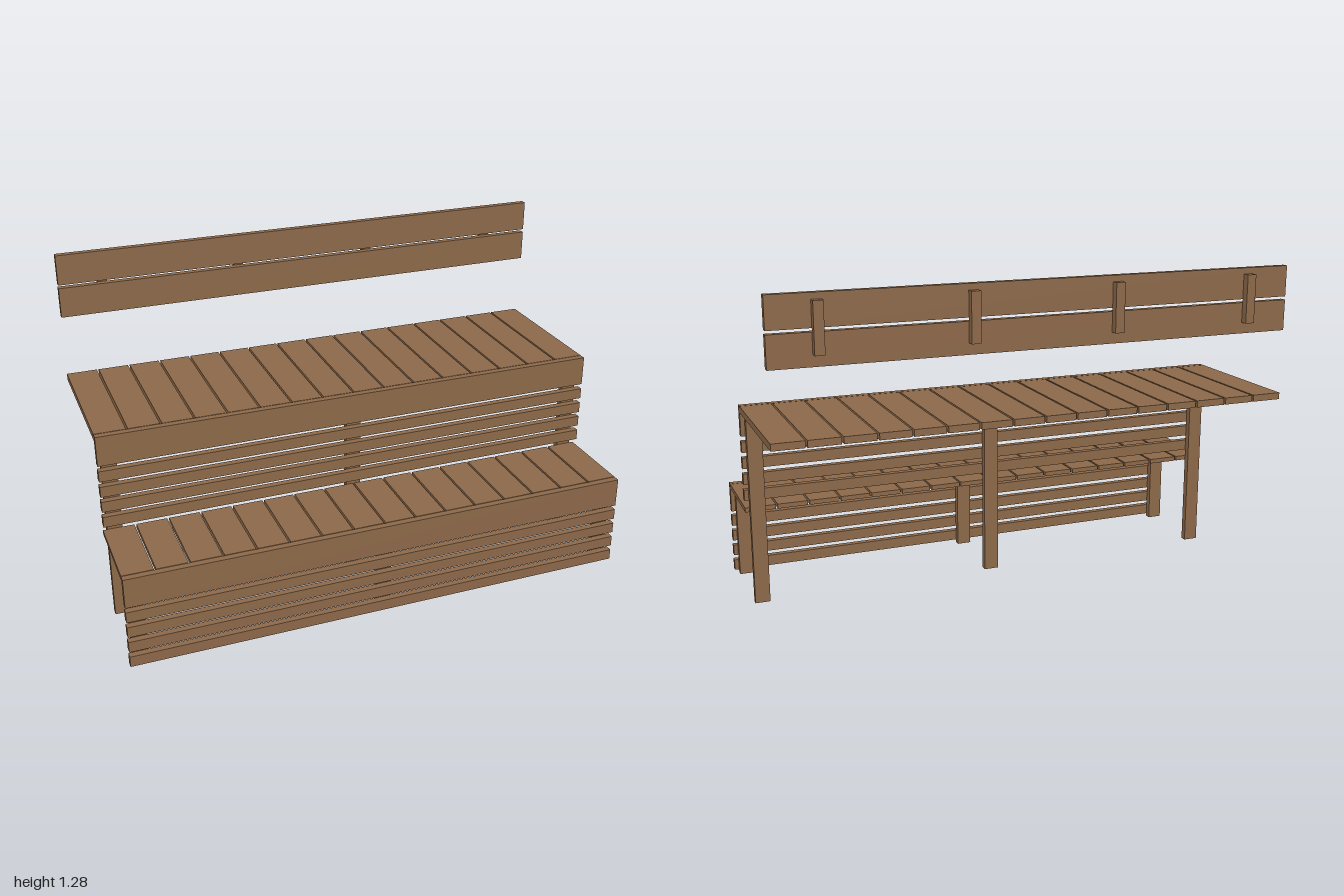
import * as THREE from 'three';

export function createModel() {
  const model = new THREE.Group();
  model.name = 'tieredBench';
  const wood = new THREE.MeshStandardMaterial({ color: 0x8c6849 });
  wood.name = 'brown wood';

  // Adds a box spanning [min, max] on each axis
  function board(parent, name, [x0, x1], [y0, y1], [z0, z1]) {
    const mesh = new THREE.Mesh(new THREE.BoxGeometry(x1 - x0, y1 - y0, z1 - z0), wood);
    mesh.position.set((x0 + x1) / 2, (y0 + y1) / 2, (z0 + z1) / 2);
    mesh.name = name;
    parent.add(mesh);
  }

  const full = [-1, 1];
  const plankCount = 16, plankWidth = 0.118;
  const pitch = (2 - plankWidth) / (plankCount - 1);

  // One tier: cross planks on top, posts, fascia board and four slats in front
  function tier(name, top, thickness, front, back, slatBottoms) {
    const group = new THREE.Group();
    group.name = name;
    for (let i = 0; i < plankCount; i++) {
      const x = -1 + i * pitch;
      board(group, 'deckPlank', [x, x + plankWidth], [top - thickness, top], [back, front]);
    }
    for (const x of [-0.955, 0, 0.955])
      board(group, 'post', [x - 0.029, x + 0.029], [0, top - thickness], [front - 0.026, front]);
    const face = [front + 0.003, front + 0.029];
    board(group, 'fascia', full, [top - 0.118, top], face);
    for (const y of slatBottoms) board(group, 'frontSlat', full, [y, y + 0.043], face);
    model.add(group);
  }
  tier('lowerTier', 0.383, 0.018, 0.446, 0.12, [0.011, 0.075, 0.139, 0.203]);
  tier('upperTier', 0.783, 0.026, 0.119, -0.446, [0.41, 0.474, 0.537, 0.601]);

  // Backrest: two long boards joined by rear cleats
  const backrest = new THREE.Group();
  backrest.name = 'backrest';
  for (const y of [1.031, 1.162]) board(backrest, 'backBoard', full, [y, y + 0.118], [-0.446, -0.42]);
  for (const x of [-0.827, -0.277, 0.277, 0.827])
    board(backrest, 'cleat', [x - 0.018, x + 0.018], [1.073, 1.257], [-0.475, -0.447]);
  model.add(backrest);

  return model;
}
